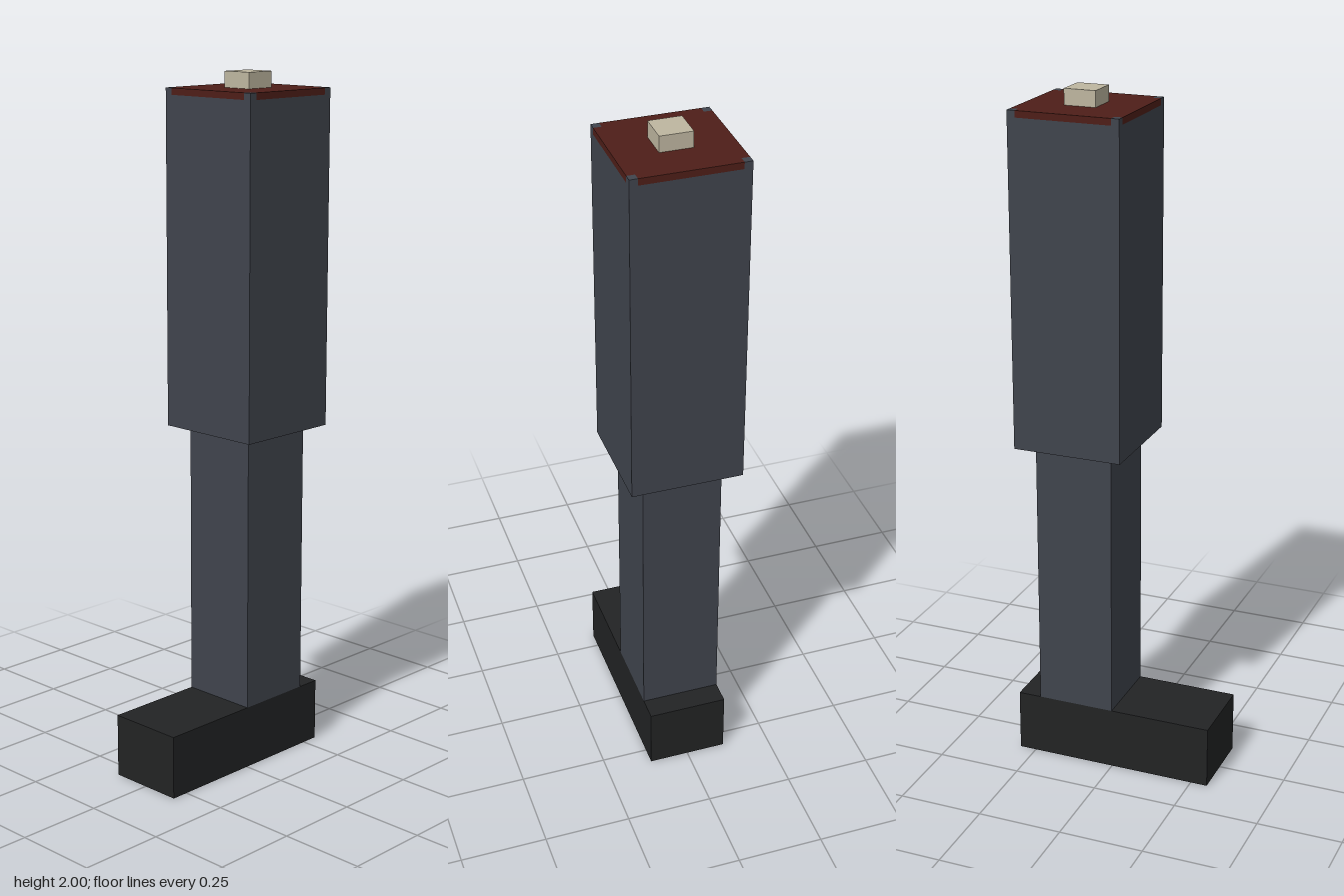
import * as THREE from 'three';

const material = (color) => new THREE.MeshStandardMaterial({ color, flatShading: true });

export function createModel() {
  const model = new THREE.Group();
  const cloth = material(0x40444d);
  const rubber = material(0x222324);
  const flesh = material(0x4e1e18);
  const bone = material(0xbeb6a0);
  const legZ = -0.116;

  // Box given by width, depth, bottom, top and centre
  function addBox(name, mat, w, d, y0, y1, x = 0, z = legZ, parent = model) {
    const mesh = new THREE.Mesh(new THREE.BoxGeometry(w, y1 - y0, d), mat);
    mesh.position.set(x, (y0 + y1) / 2, z);
    mesh.name = name;
    parent.add(mesh);
  }

  addBox('shoe', rubber, 0.23, 0.6, 0, 0.185, 0, 0);
  addBox('lowerLeg', cloth, 0.23, 0.23, 0.185, 0.995);

  // Upper leg with a small raised post at each top corner
  const half = 0.161, post = 0.023, rim = 1.936, top = 1.955;
  const upperLeg = new THREE.Group();
  upperLeg.name = 'upperLeg';
  model.add(upperLeg);
  addBox('thigh', cloth, half * 2, half * 2, 0.993, rim, 0, legZ, upperLeg);
  for (const sx of [-1, 1]) {
    for (const sz of [-1, 1]) {
      const offset = half - post / 2;
      addBox('cornerPost', cloth, post, post, rim, top, sx * offset, legZ + sz * offset, upperLeg);
    }
  }

  // Cross-shaped cut surface fitted between the corner posts
  const inner = half - post;
  const cross = new THREE.Shape([
    [-inner, -half], [inner, -half], [inner, -inner], [half, -inner],
    [half, inner], [inner, inner], [inner, half], [-inner, half],
    [-inner, inner], [-half, inner], [-half, -inner], [-inner, -inner],
  ].map(([x, y]) => new THREE.Vector2(x, y)));
  const cutGeometry = new THREE.ExtrudeGeometry(cross, { depth: top - rim, bevelEnabled: false });
  cutGeometry.rotateX(-Math.PI / 2);
  const cut = new THREE.Mesh(cutGeometry, flesh);
  cut.position.set(0, rim, legZ);
  cut.name = 'cutSurface';
  model.add(cut);

  addBox('bone', bone, 0.092, 0.092, top, 2);
  return model;
}
